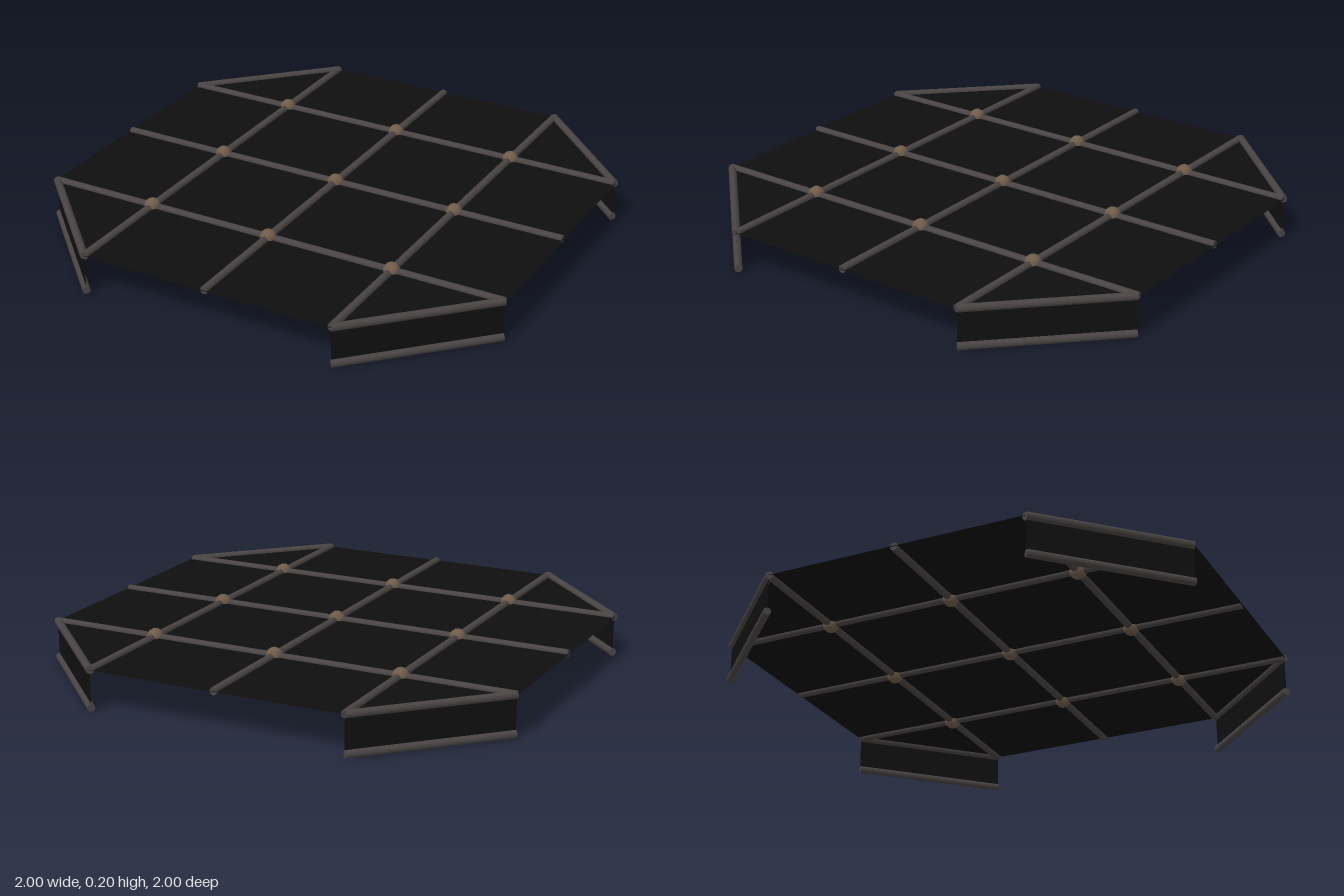
import * as THREE from 'three';

export function createModel() {
  const model = new THREE.Group();
  const panelMat = new THREE.MeshStandardMaterial({ color: 0x0f0f0f, side: THREE.DoubleSide });
  panelMat.name = 'black panel';
  const rodMat = new THREE.MeshStandardMaterial({ color: 0x4a4444 });
  rodMat.name = 'dark grey metal';
  const nodeMat = new THREE.MeshStandardMaterial({ color: 0x705c49 });
  nodeMat.name = 'bronze';

  const TOP = 0.167, LOW = 0.017, R = 0.016, IN = 0.53, OUT = 0.99;

  const add = (name, geo, mat) => {
    const mesh = new THREE.Mesh(geo, mat);
    mesh.name = name;
    model.add(mesh);
    return mesh;
  };

  // Round bar between two points
  const rod = (name, a, b) => {
    const dir = b.clone().sub(a);
    const mesh = add(name, new THREE.CylinderGeometry(R, R, dir.length(), 8), rodMat);
    mesh.position.copy(a).add(b).multiplyScalar(0.5);
    mesh.quaternion.setFromUnitVectors(new THREE.Vector3(0, 1, 0), dir.normalize());
  };

  // Octagonal deck sheet
  const outline = [[IN, 1], [1, IN], [1, -IN], [IN, -1], [-IN, -1], [-1, -IN], [-1, IN], [-IN, 1]]
    .map(([x, z]) => new THREE.Vector2(x * 0.995, -z * 0.995));
  const deck = add('deck', new THREE.ShapeGeometry(new THREE.Shape(outline)), panelMat);
  deck.rotation.x = -Math.PI / 2;
  deck.position.y = TOP;

  // Grid of bars, with a joint at each crossing
  for (const t of [-IN, 0, IN]) {
    rod('crossBar', new THREE.Vector3(-OUT, TOP, t), new THREE.Vector3(OUT, TOP, t));
    rod('lengthBar', new THREE.Vector3(t, TOP, -OUT), new THREE.Vector3(t, TOP, OUT));
    for (const u of [-IN, 0, IN]) {
      const joint = add('joint', new THREE.SphereGeometry(0.034, 8, 8), nodeMat);
      joint.position.set(t, TOP, u);
      joint.rotation.y = Math.PI / 8;
    }
  }

  // Corner skirts: a vertical sheet between two diagonal bars
  for (const sx of [-1, 1]) for (const sz of [-1, 1]) {
    for (const y of [TOP, LOW]) {
      rod('cornerBar', new THREE.Vector3(sx * IN, y, sz * OUT), new THREE.Vector3(sx * OUT, y, sz * IN));
    }
    const skirt = add('cornerPanel', new THREE.PlaneGeometry((OUT - IN) * Math.SQRT2, TOP - LOW), panelMat);
    skirt.position.set(sx * (IN + OUT) / 2, (TOP + LOW) / 2, sz * (IN + OUT) / 2);
    skirt.rotation.y = Math.atan2(sx, sz);
  }
  return model;
}
